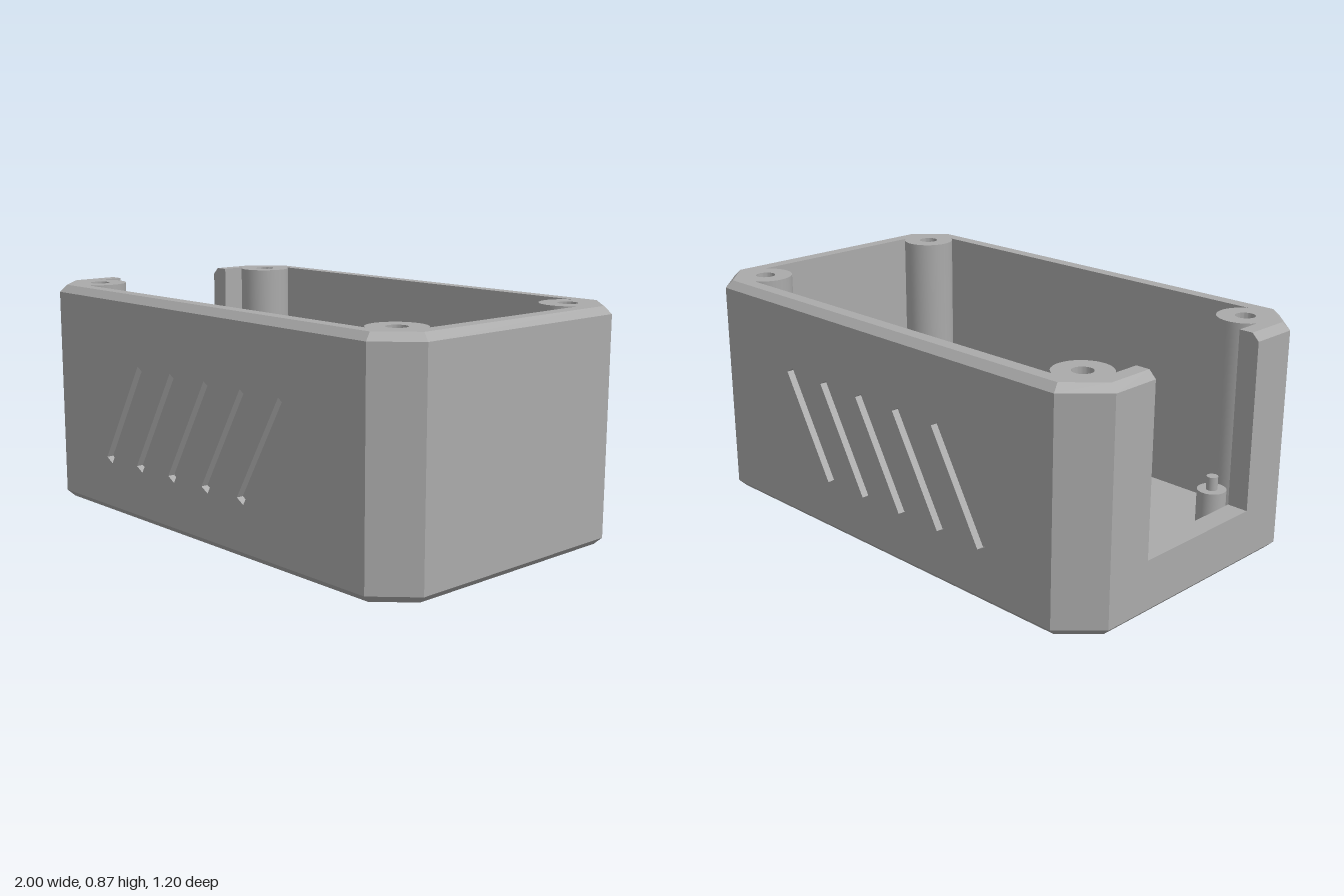
import * as THREE from 'three';
import { toCreasedNormals } from 'three/addons/utils/BufferGeometryUtils.js';

const X = 1, Z = 0.6, H = 0.865, CUT = 0.133; // outer half sizes, height, corner cut
const B = 0.027;                              // edge chamfer and skin thickness
const IX = 0.92, IZ = 0.523, FLOOR = 0.08;    // cavity
const NZ = 0.277, NY = 0.21;                  // cable opening half width and sill
const PX = 0.834, PZ = 0.433, PR = 0.103, HOLE = 0.037; // screw posts

// Eight-sided outline, inset by d, as [x, z]: front, right, back, left
function outline(d) {
  const x = X - d, z = Z - d, c = CUT - d * (2 - Math.SQRT2);
  return [[-x + c, z], [x - c, z], [x, z - c], [x, c - z],
    [x - c, -z], [c - x, -z], [-x, c - z], [-x, z - c]];
}

const toShape = (pts) => new THREE.Shape(pts.map(([x, y]) => new THREE.Vector2(x, y)));

// Extrude a plan shape (x, -z) upward from y0 to y1
function rise(shape, y0, y1) {
  const g = new THREE.ExtrudeGeometry(shape, { depth: y1 - y0, bevelEnabled: false, curveSegments: 24 });
  return g.rotateX(-Math.PI / 2).translate(0, y0, 0);
}

// Wall plan with screw posts merged into the corners and the opening left out
function wallShape() {
  const o = outline(B).map(([x, z]) => [x, -z]);
  const pts = [[B - X, -NZ], o[7], ...o.slice(0, 7), [B - X, NZ], [-IX, NZ]];
  const du = IX - PX, dv = IZ - PZ;
  const a0 = Math.atan2(-Math.sqrt(PR * PR - du * du), du);
  const a1 = Math.atan2(dv, -Math.sqrt(PR * PR - dv * dv)) - 2 * Math.PI;
  [[-1, 1], [1, 1], [1, -1], [-1, -1]].forEach(([sx, sy], k) => {
    const arc = [];
    for (let i = 0; i <= 20; i++) {
      const a = a0 + (a1 - a0) * i / 20;
      arc.push([sx * (PX + PR * Math.cos(a)), sy * (PZ + PR * Math.sin(a))]);
    }
    pts.push(...(k % 2 ? arc.reverse() : arc));
  });
  pts.push([-IX, -NZ]);
  const shape = toShape(pts);
  for (const sx of [-1, 1]) for (const sy of [-1, 1]) {
    shape.holes.push(new THREE.Path().absarc(sx * PX, sy * PZ, HOLE, 0, Math.PI * 2, true));
  }
  return shape;
}

// Chamfered outer faces; front and back panels are separate
function skinGeometry() {
  const pos = [];
  const quad = (a, b, c, d) => pos.push(...a, ...b, ...c, ...a, ...c, ...d);
  const out = outline(0), inn = outline(B);
  const at = ([x, z], y) => [x, y, z];
  const top = H - B;
  for (let i = 0; i < 8; i++) {
    const j = (i + 1) % 8, p = out[i], q = out[j], pi = inn[i], qi = inn[j];
    quad(at(pi, 0), at(qi, 0), at(q, B), at(p, B));
    if (i === 6) {
      // side with the opening
      quad(at(p, B), at(q, B), at(q, NY), at(p, NY));
      for (const [s, e, si, ei] of [[p, [-X, -NZ], pi, [B - X, -NZ]], [[-X, NZ], q, [B - X, NZ], qi]]) {
        quad(at(s, NY), at(e, NY), at(e, top), at(s, top));
        quad(at(s, top), at(e, top), at(ei, H), at(si, H));
      }
      continue;
    }
    if (i !== 0 && i !== 4) quad(at(p, B), at(q, B), at(q, top), at(p, top));
    quad(at(p, top), at(q, top), at(qi, H), at(pi, H));
  }
  // opening sill and jambs
  quad([-X, NY, NZ], [B - X, NY, NZ], [B - X, NY, -NZ], [-X, NY, -NZ]);
  const jamb = (z) => [[-X, NY, z], [B - X, NY, z], [B - X, H, z], [-X, top, z]];
  quad(...jamb(-NZ));
  quad(...jamb(NZ).reverse());
  const g = new THREE.BufferGeometry();
  g.setAttribute('position', new THREE.Float32BufferAttribute(pos, 3));
  g.computeVertexNormals();
  return g;
}

// Long side panel with five slanted blind slots
function slottedPanel() {
  const w = X - CUT;
  const shape = toShape([[-w, B], [w, B], [w, H - B], [-w, H - B]]);
  const c = Math.cos(Math.PI / 6), s = Math.sin(Math.PI / 6);
  for (let i = 0; i < 5; i++) {
    const cx = -0.4375 + 0.2 * i, cy = 0.402;
    const corners = [[-1, -1], [-1, 1], [1, 1], [1, -1]].map(([a, b]) => {
      const u = a * 0.02, v = b * 0.222;
      return new THREE.Vector2(cx + u * c + v * s, cy - u * s + v * c);
    });
    shape.holes.push(new THREE.Path(corners));
  }
  return new THREE.ExtrudeGeometry(shape, { depth: B, bevelEnabled: false });
}

export function createModel() {
  const group = new THREE.Group();
  group.name = 'enclosure';
  const grey = new THREE.MeshStandardMaterial({ color: 0xaaaaaa });
  grey.name = 'grey plastic';
  const add = (name, geo, x = 0, y = 0, z = 0) => {
    const m = new THREE.Mesh(geo, grey);
    m.name = name;
    m.position.set(x, y, z);
    group.add(m);
  };

  add('floor', rise(toShape(outline(B).map(([x, z]) => [x, -z]).reverse()), 0, FLOOR));
  add('wallsAndScrewPosts', toCreasedNormals(rise(wallShape(), FLOOR / 2, H), 0.5));
  add('outerSkin', skinGeometry());
  add('frontPanel', slottedPanel(), 0, 0, Z - B);
  add('backPanel', slottedPanel(), 0, 0, -Z);

  // low wall under the opening
  const sillW = X - B - IX, sillH = NY - FLOOR / 2;
  add('openingSill', new THREE.BoxGeometry(sillW, sillH, 2 * NZ), -IX - sillW / 2, NY - sillH / 2, 0);

  // board standoffs with locating pins
  for (const x of [-0.86, 0.497]) for (const z of [-0.255, 0.255]) {
    add('standoff', new THREE.CylinderGeometry(0.053, 0.053, 0.2, 32), x, 0.16, z);
    add('standoffPin', new THREE.CylinderGeometry(0.021, 0.021, 0.06, 24), x, 0.28, z);
  }
  return group;
}
